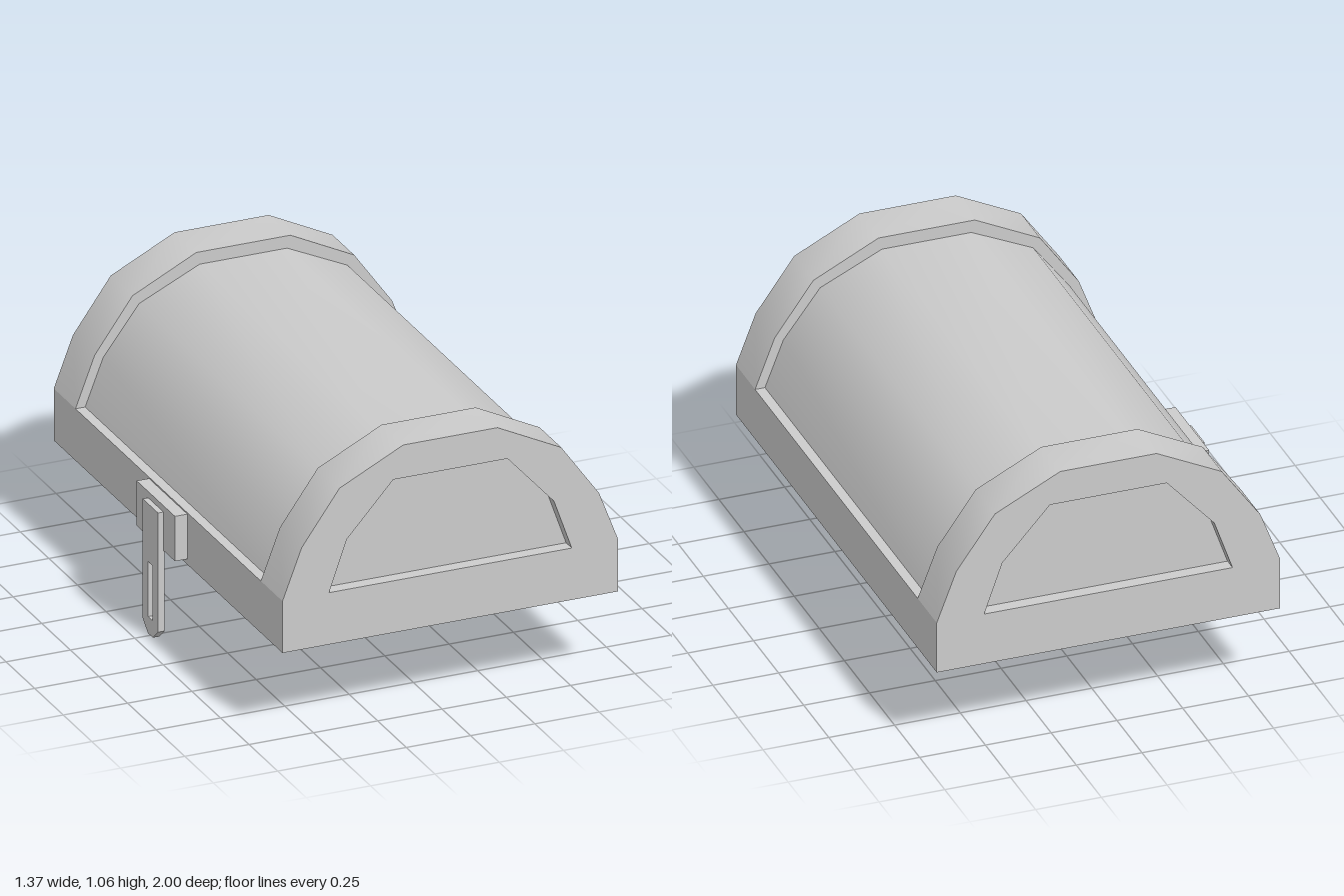
import * as THREE from 'three';
import { toCreasedNormals } from 'three/addons/utils/BufferGeometryUtils.js';

const material = new THREE.MeshStandardMaterial({ color: 0xcccccc });
const BASE = 0.333, SILL = 0.535, MID_X = 0.0325;

// Right half of a profile, mirrored to a full left-right symmetric arch
const mirror = (half) => [...half, ...half.map(([x, y]) => [-x, y]).reverse()];
const reversed = (p) => [...p].reverse();
const closed = (p) => [...p, p[0]];
const toPoints = (p) => p.map(([x, y]) => new THREE.Vector2(x, y));
const toShape = (p, hole) => {
  const shape = new THREE.Shape(toPoints(p));
  if (hole) shape.holes.push(new THREE.Path(toPoints(hole)));
  return shape;
};

// Skin through [profile, z] sections running from front to back
function loft(sections) {
  const pos = [];
  for (let s = 0; s < sections.length - 1; s++) {
    const [pa, za] = sections[s], [pb, zb] = sections[s + 1];
    for (let i = 0; i < pa.length - 1; i++) {
      const a = [...pa[i], za], a2 = [...pa[i + 1], za];
      const b = [...pb[i], zb], b2 = [...pb[i + 1], zb];
      pos.push(...a, ...b, ...a2, ...b, ...b2, ...a2);
    }
  }
  const geo = new THREE.BufferGeometry();
  geo.setAttribute('position', new THREE.Float32BufferAttribute(pos, 3));
  return toCreasedNormals(geo, 0.6);
}

function add(parent, name, geo) {
  const mesh = new THREE.Mesh(geo, material);
  mesh.name = name;
  parent.add(mesh);
  return mesh;
}

export function createModel() {
  const model = new THREE.Group();
  model.name = 'chestLid';
  const shell = new THREE.Group();
  shell.name = 'shell';
  shell.position.x = MID_X;
  model.add(shell);

  const outer = mirror([[0.6525, SILL], [0.578, 0.73], [0.431, 0.935], [0.183, 1.058]]);
  const middle = mirror([[0.615, SILL], [0.545, 0.715], [0.405, 0.9], [0.17, 1.01]]);
  const panel = mirror([[0.472, SILL], [0.403, 0.73], [0.222, 0.93]]);
  const inner = mirror([[0.53, BASE], [0.53, SILL], [0.45, 0.71], [0.34, 0.86], [0.15, 0.945]]);
  const endFace = mirror([[0.6525, BASE], ...outer.slice(0, 4)]);

  // Curved roof: raised band at each end, lower barrel between them
  add(shell, 'archedRoof', loft([
    [outer, 1], [outer, 0.81], [middle, 0.81],
    [middle, -0.81], [outer, -0.81], [outer, -1],
  ]));

  // Side walls and the narrow ledges on top of them
  const wall = [[0.6525, BASE], [0.6525, SILL]];
  const ledge = [[0.6525, SILL], [0.615, SILL]];
  const flip = (p) => reversed(p.map(([x, y]) => [-x, y]));
  for (const [side, f] of [['left', (p) => p], ['right', flip]]) {
    add(shell, side + 'Wall', loft([[f(wall), 1], [f(wall), -1]]));
    add(shell, side + 'Ledge', loft([[f(ledge), 0.81], [f(ledge), -0.81]]));
  }

  // End walls with a recessed panel; the back is the front turned round
  for (const [side, turn] of [['front', 0], ['back', Math.PI]]) {
    const end = new THREE.Group();
    end.name = side + 'End';
    end.rotation.y = turn;
    add(end, 'endFrame', new THREE.ShapeGeometry(toShape(endFace, panel))).position.z = 1;
    add(end, 'recessEdge', loft([[closed(reversed(panel)), 1], [closed(reversed(panel)), 0.95]]));
    add(end, 'recessedPanel', new THREE.ShapeGeometry(toShape(panel))).position.z = 0.95;
    add(end, 'innerEndWall', new THREE.ShapeGeometry(toShape(inner))).position.z = -0.9;
    shell.add(end);
  }

  // Hollow inside and the flat rim below
  add(shell, 'innerVault', loft([[reversed(inner), 0.9], [reversed(inner), -0.9]]));
  const rect = (w, d) => [[-w, -d], [w, -d], [w, d], [-w, d]];
  const rim = new THREE.ShapeGeometry(toShape(rect(0.6525, 1), rect(0.53, 0.9)));
  add(shell, 'bottomRim', rim.rotateX(Math.PI / 2)).position.y = BASE;

  // Hasp: mounting block and slotted hanging plate
  const hasp = new THREE.Group();
  hasp.name = 'hasp';
  model.add(hasp);
  add(hasp, 'haspBlock', new THREE.BoxGeometry(0.05, 0.175, 0.335)).position.set(-0.643, 0.442, 0);
  const plate = mirror([[0.022, 0], [0.067, 0.04], [0.067, 0.505]]);
  const slot = mirror([[0.02, 0.065], [0.02, 0.28]]);
  const plateGeo = new THREE.ExtrudeGeometry(toShape(plate, slot), { depth: 0.025, bevelEnabled: false });
  add(hasp, 'haspPlate', plateGeo.rotateY(-Math.PI / 2)).position.x = -0.664;

  return model;
}
